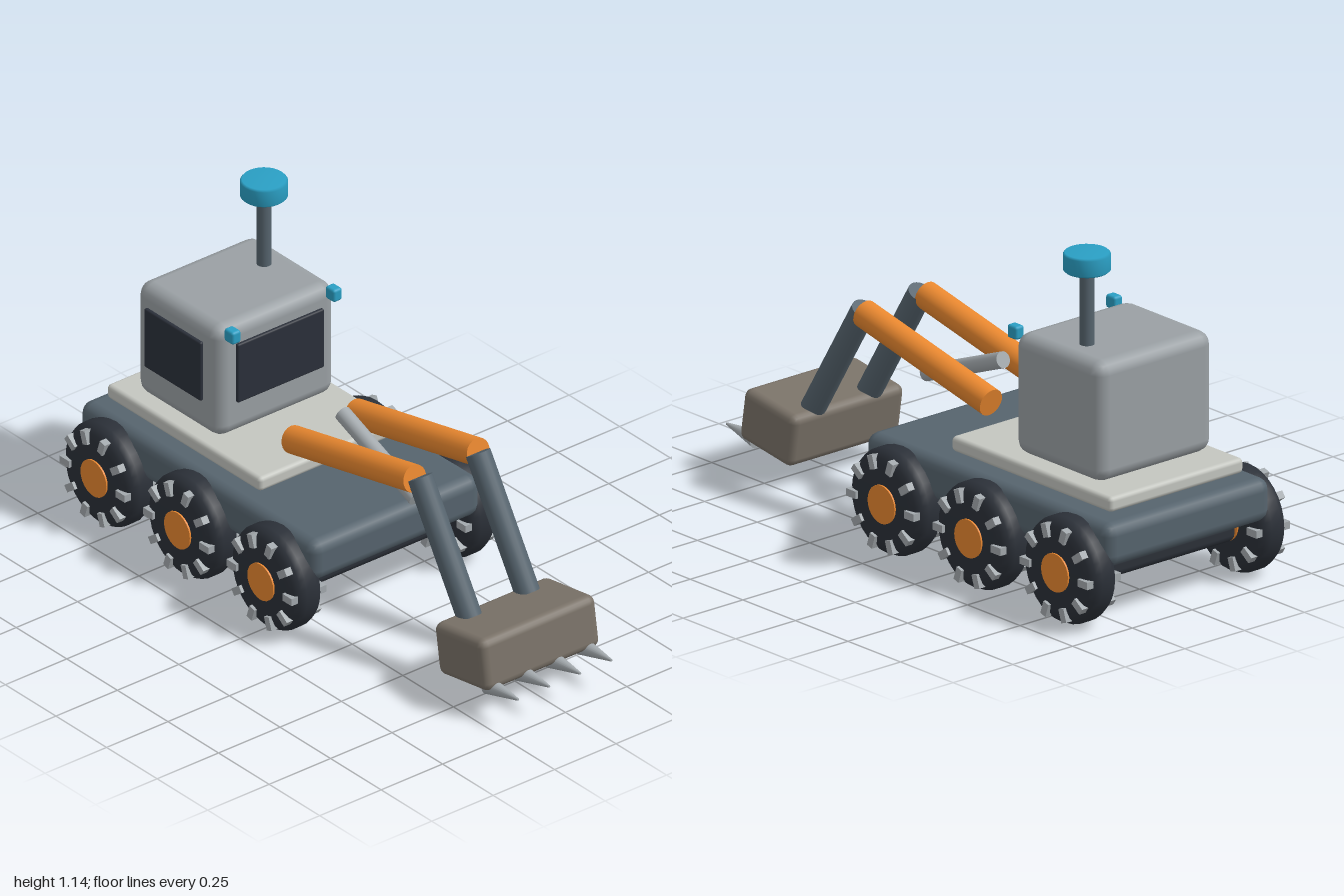
import * as THREE from 'three';
import { RoundedBoxGeometry } from 'three/addons/geometries/RoundedBoxGeometry.js';

const mat = (color) => new THREE.MeshStandardMaterial({ color });
const M = {
  chassis: mat(0x56646e), dark: mat(0x2b3038), orange: mat(0xe8872f), deck: mat(0xc4c6c0),
  cab: mat(0x9aa0a4), glass: mat(0x2b303a), steel: mat(0xa3a9ad), bucket: mat(0x7a7268), blue: mat(0x2a9fc4),
};

function add(parent, name, geometry, material, x = 0, y = 0, z = 0) {
  const mesh = new THREE.Mesh(geometry, material);
  mesh.name = name;
  mesh.position.set(x, y, z);
  parent.add(mesh);
  return mesh;
}

const rbox = (w, h, d, r, seg = 2) => new RoundedBoxGeometry(w, h, d, seg, r);

// Cylinder or cone running between two points
function rod(parent, name, a, b, r0, r1, material) {
  const from = new THREE.Vector3(...a), to = new THREE.Vector3(...b);
  const dir = to.clone().sub(from);
  const mesh = add(parent, name, new THREE.CylinderGeometry(r1, r0, dir.length(), 20), material);
  mesh.position.copy(from).add(to).multiplyScalar(0.5);
  mesh.quaternion.setFromUnitVectors(new THREE.Vector3(0, 1, 0), dir.normalize());
  return mesh;
}

// Wheel centred on its own origin, axle along z
function createWheel() {
  const wheel = new THREE.Group();
  wheel.name = 'wheel';
  const R = 0.177, h = 0.06;
  const profile = [[0, -h], [0.125, -h], [0.15, -0.054], [0.168, -0.04], [R, -0.02],
    [R, 0.02], [0.168, 0.04], [0.15, 0.054], [0.125, h], [0, h]].map(([x, y]) => new THREE.Vector2(x, y));
  add(wheel, 'tyre', new THREE.LatheGeometry(profile, 32), M.dark).rotation.x = Math.PI / 2;
  add(wheel, 'hub', new THREE.CylinderGeometry(0.064, 0.064, 0.132, 24), M.orange).rotation.x = Math.PI / 2;
  const lugGeometry = new THREE.BoxGeometry(0.046, 0.025, 0.142);
  for (let i = 0; i < 10; i++) {
    const a = (i / 10) * Math.PI * 2;
    add(wheel, 'treadLug', lugGeometry, M.steel, Math.cos(a) * 0.138, Math.sin(a) * 0.138).rotation.z = a;
  }
  return wheel;
}

export function createModel() {
  const model = new THREE.Group();
  model.name = 'rover';

  // Body
  add(model, 'chassis', rbox(1.165, 0.145, 0.69, 0.04), M.chassis, -0.41, 0.288);
  add(model, 'undercarriage', rbox(1.0, 0.07, 0.54, 0.025), M.dark, -0.41, 0.177);
  add(model, 'deck', rbox(0.76, 0.051, 0.56, 0.015), M.deck, -0.55, 0.4);

  // Cab with windows
  add(model, 'cab', rbox(0.412, 0.404, 0.484, 0.045), M.cab, -0.628, 0.632);
  add(model, 'sideWindow', rbox(0.28, 0.213, 0.015, 0.006), M.glass, -0.628, 0.662, 0.253);
  add(model, 'windshield', rbox(0.015, 0.213, 0.352, 0.006), M.glass, -0.411, 0.662, 0);

  // Mast and beacon
  rod(model, 'mast', [-0.657, 0.8, -0.138], [-0.657, 1.09, -0.138], 0.024, 0.024, M.chassis);
  const beacon = [[0, 0], [0.068, 0], [0.076, 0.007], [0.076, 0.058], [0.07, 0.065], [0, 0.065]]
    .map(([x, y]) => new THREE.Vector2(x, y));
  add(model, 'beacon', new THREE.LatheGeometry(beacon, 28), M.blue, -0.657, 1.078, -0.138);

  // Wheels, headlamps and arms on both sides
  for (const s of [1, -1]) {
    for (const x of [-0.823, -0.41, 0.002]) {
      const wheel = createWheel();
      wheel.position.set(x, 0.181, s * 0.354);
      model.add(wheel);
    }
    add(model, 'headlamp', rbox(0.045, 0.045, 0.036, 0.009), M.blue, -0.395, 0.82, s * 0.206);
    rod(model, 'upperArm', [-0.19, 0.505, s * 0.129], [0.412, 0.637, s * 0.129], 0.046, 0.046, M.orange);
    rod(model, 'forearm', [0.425, 0.645, s * 0.118], [0.67, 0.245, s * 0.118], 0.041, 0.041, M.chassis);
  }
  rod(model, 'hydraulicStrut', [-0.102, 0.593, 0], [0.263, 0.448, 0], 0.027, 0.027, M.steel);

  // Bucket and teeth
  add(model, 'bucket', rbox(0.25, 0.18, 0.47, 0.028), M.bucket, 0.761, 0.18).rotation.z = 0.155;
  for (const z of [-0.19, -0.063, 0.063, 0.19]) {
    rod(model, 'bucketTooth', [0.852, 0.108, z], [0.997, 0.121, z], 0.03, 0.004, M.steel);
  }
  return model;
}
